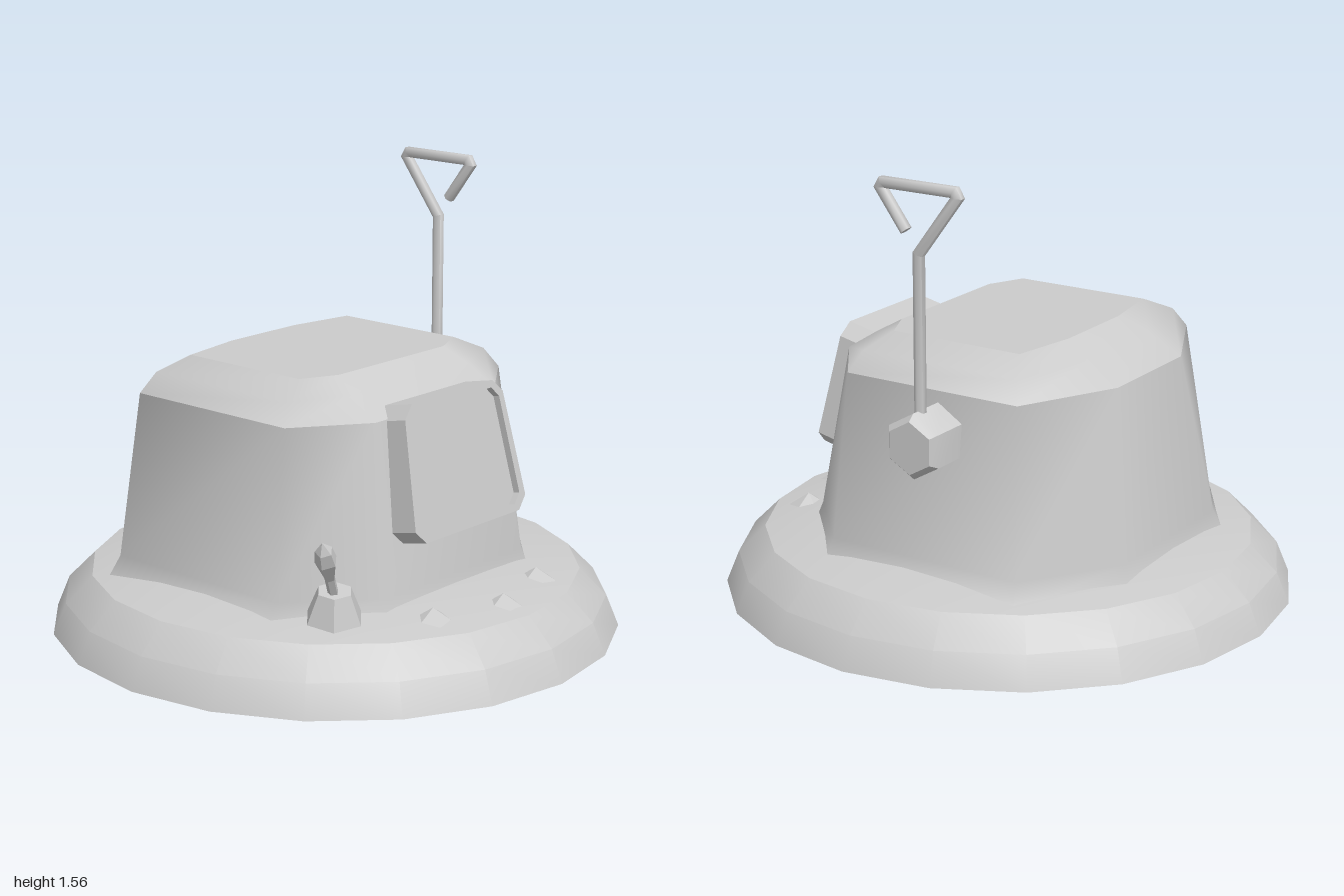
import * as THREE from 'three';
import { toCreasedNormals } from 'three/addons/utils/BufferGeometryUtils.js';

const smooth = new THREE.MeshStandardMaterial({ color: 0xcccccc });
const faceted = new THREE.MeshStandardMaterial({ color: 0xcccccc, flatShading: true });

function add(parent, name, geometry, material = smooth) {
  const mesh = new THREE.Mesh(geometry, material);
  mesh.name = name;
  parent.add(mesh);
  return mesh;
}

// Skin a stack of equal-length rings of [x, y, z], optionally capping the ends.
function loft(rings, capStart, capEnd) {
  const n = rings[0].length;
  const pos = rings.flat(2);
  const index = [];
  for (let i = 0; i < rings.length - 1; i++) {
    for (let j = 0; j < n; j++) {
      const a = i * n + j, b = i * n + (j + 1) % n;
      index.push(a, b, b + n, a, b + n, a + n);
    }
  }
  const cap = (ring, flip) => {
    const start = pos.length / 3;
    pos.push(...ring.flat());
    for (let j = 1; j < n - 1; j++) {
      index.push(start, start + (flip ? j + 1 : j), start + (flip ? j : j + 1));
    }
  };
  if (capStart) cap(rings[0], true);
  if (capEnd) cap(rings[rings.length - 1], false);
  const g = new THREE.BufferGeometry();
  g.setAttribute('position', new THREE.Float32BufferAttribute(pos, 3));
  g.setIndex(index);
  g.computeVertexNormals();
  return g;
}

// Eight-sided ring from the four corners on the +x side, mirrored to -x.
function octagon(y, half) {
  const right = half.map(([x, z]) => [x, y, z]);
  return [...right, ...right.map(([x, , z]) => [-x, y, z]).reverse()];
}

// Tapered panel outline with cut corners.
function panel(Type, top, bottom, h, c) {
  return new Type([
    [-bottom + c, -h], [bottom - c, -h], [bottom, -h + c], [top, h - c],
    [top - c, h], [-top + c, h], [-top, h - c], [-bottom, -h + c],
  ].map(([x, y]) => new THREE.Vector2(x, y)));
}

// Six-sided bar following a bent path of [z, y] points in a plane of constant x.
function bentBar(path, x, r) {
  const pts = path.map(([z, y]) => new THREE.Vector2(z, y));
  const rings = pts.map((p, i) => {
    const before = p.clone().sub(pts[Math.max(i - 1, 0)]).normalize();
    const after = pts[Math.min(i + 1, pts.length - 1)].clone().sub(p).normalize();
    const t = before.clone().add(after).normalize();
    const ref = after.lengthSq() > 0 ? after : before;
    const miter = Math.min(1 / Math.max(t.dot(ref), 0.01), 1.4);
    return Array.from({ length: 6 }, (_, k) => {
      const a = (k + 0.5) * Math.PI / 3;
      const s = Math.cos(a) * r * miter;
      return [x + Math.sin(a) * r, p.y - t.x * s, p.x + t.y * s];
    });
  });
  return toCreasedNormals(loft(rings, true, true), 1.1);
}

export function createModel() {
  const model = new THREE.Group();

  // Round saucer base
  const profile = [[0, 0], [1, 0], [0.955, 0.11], [0.86, 0.205], [0.65, 0.245], [0.35, 0.26], [0, 0.26]]
    .map(([r, y]) => new THREE.Vector2(r, y));
  const base = add(model, 'base', toCreasedNormals(new THREE.LatheGeometry(profile, 20), 0.4));
  base.scale.x = 0.99;

  // Eight-sided cabin wall and domed crown
  const rim = octagon(0.85, [[0.31, 0.455], [0.555, 0.28], [0.555, -0.39], [0.21, -0.56]]);
  add(model, 'cabinWall', loft([
    octagon(0.2, [[0.38, 0.57], [0.67, 0.31], [0.67, -0.45], [0.33, -0.68]]),
    octagon(0.28, [[0.36, 0.545], [0.625, 0.3], [0.625, -0.43], [0.31, -0.645]]),
    rim,
  ]));
  add(model, 'crown', loft([
    rim,
    octagon(0.92, [[0.3, 0.345], [0.505, 0.25], [0.505, -0.36], [0.2, -0.44]]),
    octagon(0.97, [[0.27, 0.26], [0.4, 0.2], [0.4, -0.3], [0.16, -0.34]]),
  ], false, true));

  // Tilted screen with a raised frame
  const screen = new THREE.Group();
  screen.name = 'screen';
  screen.position.set(0, 0.683, 0.573);
  screen.rotation.x = -0.215;
  const outline = panel(THREE.Shape, 0.255, 0.29, 0.228, 0.045);
  outline.holes.push(panel(THREE.Path, 0.232, 0.26, 0.205, 0.035));
  const frame = new THREE.ExtrudeGeometry(outline, { depth: 0.13, bevelEnabled: false });
  frame.translate(0, 0, -0.13);
  add(screen, 'screenFrame', frame, faceted);
  const glass = new THREE.ShapeGeometry(panel(THREE.Shape, 0.24, 0.27, 0.212, 0.035));
  glass.translate(0, 0, -0.025);
  add(screen, 'screenGlass', glass, faceted);
  model.add(screen);

  // Three buttons on the base
  for (const [x, z, y] of [[-0.275, 0.675, 0.238], [0, 0.75, 0.233], [0.275, 0.675, 0.238]]) {
    const button = add(model, 'button', new THREE.ConeGeometry(0.07, 0.045, 6), faceted);
    button.position.set(x, y, z);
    button.rotation.y = Math.PI / 6;
  }

  // Lever with a tilted foot and a leaf-like handle
  const foot = add(model, 'leverFoot', new THREE.CylinderGeometry(0.06, 0.1, 0.1, 6), faceted);
  foot.position.set(-0.56, 0.305, 0.5);
  foot.rotation.set(0.1, 0.2, 0.12);
  const handle = [[0, 0], [0.018, 0], [0.018, 0.08], [0.038, 0.16], [0.03, 0.21], [0, 0.25]]
    .map(([r, y]) => new THREE.Vector2(r, y));
  const lever = add(model, 'leverHandle', new THREE.LatheGeometry(handle, 5), faceted);
  lever.position.set(-0.575, 0.345, 0.51);
  lever.quaternion.setFromUnitVectors(new THREE.Vector3(0, 1, 0), new THREE.Vector3(-0.125, 0.23, 0.06).normalize());

  // Hexagonal antenna mount on the left side
  const mountProfile = [[0, -0.1], [0.112, -0.1], [0.112, 0.055], [0.09, 0.08], [0, 0.08]]
    .map(([r, y]) => new THREE.Vector2(r, y));
  const mountGeometry = new THREE.LatheGeometry(mountProfile, 6);
  mountGeometry.rotateY(Math.PI / 2);
  mountGeometry.rotateZ(-Math.PI / 2);
  const mount = add(model, 'antennaMount', toCreasedNormals(mountGeometry, 0.7));
  mount.position.set(0.645, 0.7, -0.088);

  // Antenna rod bent into an open triangle
  add(model, 'antenna', bentBar([
    [-0.085, 0.7], [-0.085, 1.33], [-0.235, 1.53], [-0.225, 1.547],
    [0.05, 1.547], [0.06, 1.53], [-0.037, 1.4],
  ], 0.655, 0.02));

  return model;
}
